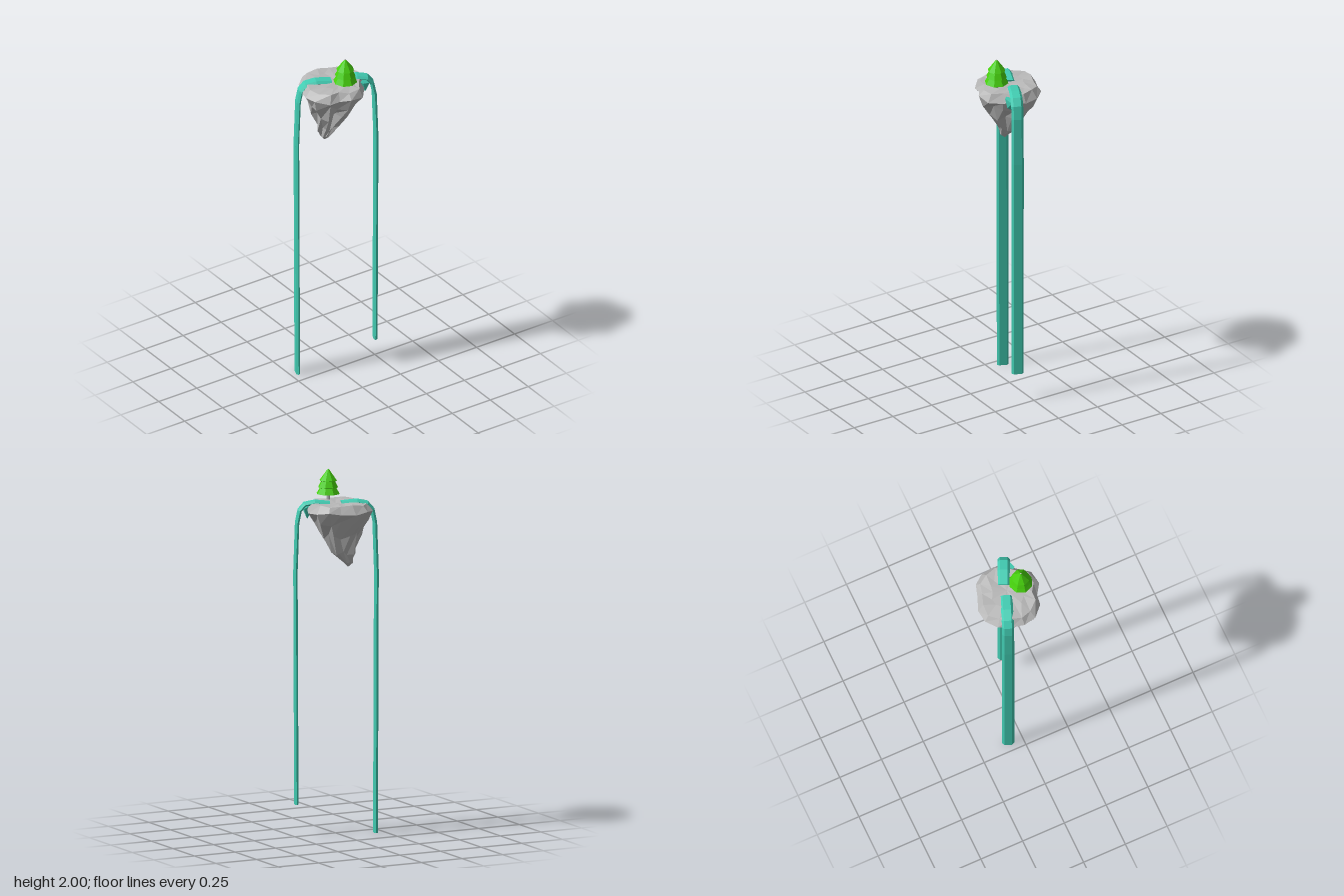
import * as THREE from 'three';
import { ConvexGeometry } from 'three/addons/geometries/ConvexGeometry.js';

const mat = (name, color) => new THREE.MeshStandardMaterial({ name, color, flatShading: true });

// Skin closed loops of points, stacked from first to last, with fan caps
function loft(rings, firstCentre, lastCentre) {
  const n = rings[0].length, pos = [];
  const tri = (...pts) => pts.forEach(p => pos.push(p.x, p.y, p.z));
  for (let j = 0; j < n; j++) {
    const k = (j + 1) % n;
    for (let i = 0; i + 1 < rings.length; i++) {
      const a = rings[i], b = rings[i + 1];
      tri(a[j], a[k], b[k]);
      tri(a[j], b[k], b[j]);
    }
    tri(firstCentre, rings[0][k], rings[0][j]);
    const top = rings[rings.length - 1];
    tri(lastCentre, top[j], top[k]);
  }
  const g = new THREE.BufferGeometry();
  g.setAttribute('position', new THREE.Float32BufferAttribute(pos, 3));
  g.computeVertexNormals();
  return g;
}

// Island: rim outline shrunk towards an off-centre tip, with craggy offsets
function islandGeometry() {
  const rim = [[.167, 0], [.155, -.08], [.11, -.135], [.045, -.155], [-.03, -.185], [-.105, -.178],
    [-.163, -.128], [-.19, -.06], [-.211, .01], [-.198, .08], [-.135, .138], [-.08, .145],
    [-.025, .182], [.056, .172], [.105, .11], [.145, .055]];
  // y, centre x, centre z, x scale, z scale, roughness
  const levels = [
    [1.495, -.065, -.012, .13, .15, .004],
    [1.55, -.037, -.012, .34, .25, .012],
    [1.65, -.02, 0, .57, .50, .018],
    [1.73, -.008, 0, .81, .79, .014],
    [1.788, 0, 0, 1, 1, .008],
    [1.829, 0, 0, .84, .84, .005],
    [1.831, 0, 0, .5, .5, .003],
  ];
  const rings = levels.map(([y, cx, cz, sx, sz, r], i) => rim.map(([x, z], j) => {
    const k = i === 4 ? 0 : r * Math.sin(j * 2.4 + i * 1.7) / Math.hypot(x, z);
    return new THREE.Vector3(cx + x * (sx + k), y + r * Math.sin(j * 1.9 + i * 2.6), cz + z * (sz + k));
  }));
  return loft(rings, new THREE.Vector3(-.07, 1.468, -.015), new THREE.Vector3(0, 1.826, 0));
}

// Waterfall: bevelled strip that rises, bends over the rim and runs inland
function waterfallGeometry([sx, sz], [ex, ez], bottom) {
  const out = new THREE.Vector3(ex - sx, 0, ez - sz), L = out.length();
  out.normalize();
  const side = out.clone().cross(new THREE.Vector3(0, 1, 0));
  const path = [[L, bottom], [L + .005, 1.45], [L - .004, 1.72], [L - .018, 1.79],
    [L - .045, 1.822], [L - .1, 1.833], [0, 1.825]]
    .map(([r, y]) => new THREE.Vector3(sx + out.x * r, y, sz + out.z * r));
  const section = [[.033, 0], [.021, .012], [-.021, .012], [-.033, 0], [-.021, -.01], [.021, -.01]];
  const last = path.length - 1;
  const rings = path.map((p, i) => {
    const t = path[Math.min(i + 1, last)].clone().sub(path[Math.max(i - 1, 0)]).normalize();
    if (i === 0) t.set(0, 1, 0);
    const n = t.cross(side);
    return section.map(([s, h]) => p.clone().addScaledVector(side, s).addScaledVector(n, h));
  });
  return loft(rings, path[0], path[last]);
}

export function createModel() {
  const model = new THREE.Group();
  model.name = 'floatingIsland';
  const rock = mat('rock grey', 0xb9b9b9);
  const water = mat('water teal', 0x42cdb3);
  const leaf = mat('leaf green', 0x46d00c);
  const add = (name, geometry, material) => {
    const m = new THREE.Mesh(geometry, material);
    m.name = name;
    model.add(m);
    return m;
  };

  add('island', islandGeometry(), rock);

  // Two falls on opposite sides
  add('rightWaterfall', waterfallGeometry([-.028, -.016], [-.201, -.084], 0), water);
  add('leftWaterfall', waterfallGeometry([.036, -.002], [.2, .074], .165), water);

  // Water spilling against the rock under the left fall
  const spill = [[.085, 1.825, .06], [.11, 1.815, .098], [.125, 1.76, .092], [.16, 1.8, .085],
    [.17, 1.8, .04], [.145, 1.74, .055]];
  add('waterSpill', new ConvexGeometry(spill.map(p => new THREE.Vector3(...p))), water);

  // Tree: three eight-sided tiers on a thin trunk
  const tiers = [[0, 1.866], [.066, 1.864], [.046, 1.897], [.057, 1.9], [.04, 1.933], [.049, 1.937], [.004, 1.999]]
    .map(([r, y]) => new THREE.Vector2(r, y));
  add('treeLeaves', new THREE.LatheGeometry(tiers, 8), leaf).position.z = .083;
  add('treeTrunk', new THREE.CylinderGeometry(.004, .011, .18, 8), rock).position.set(0, 1.91, .083);
  return model;
}
